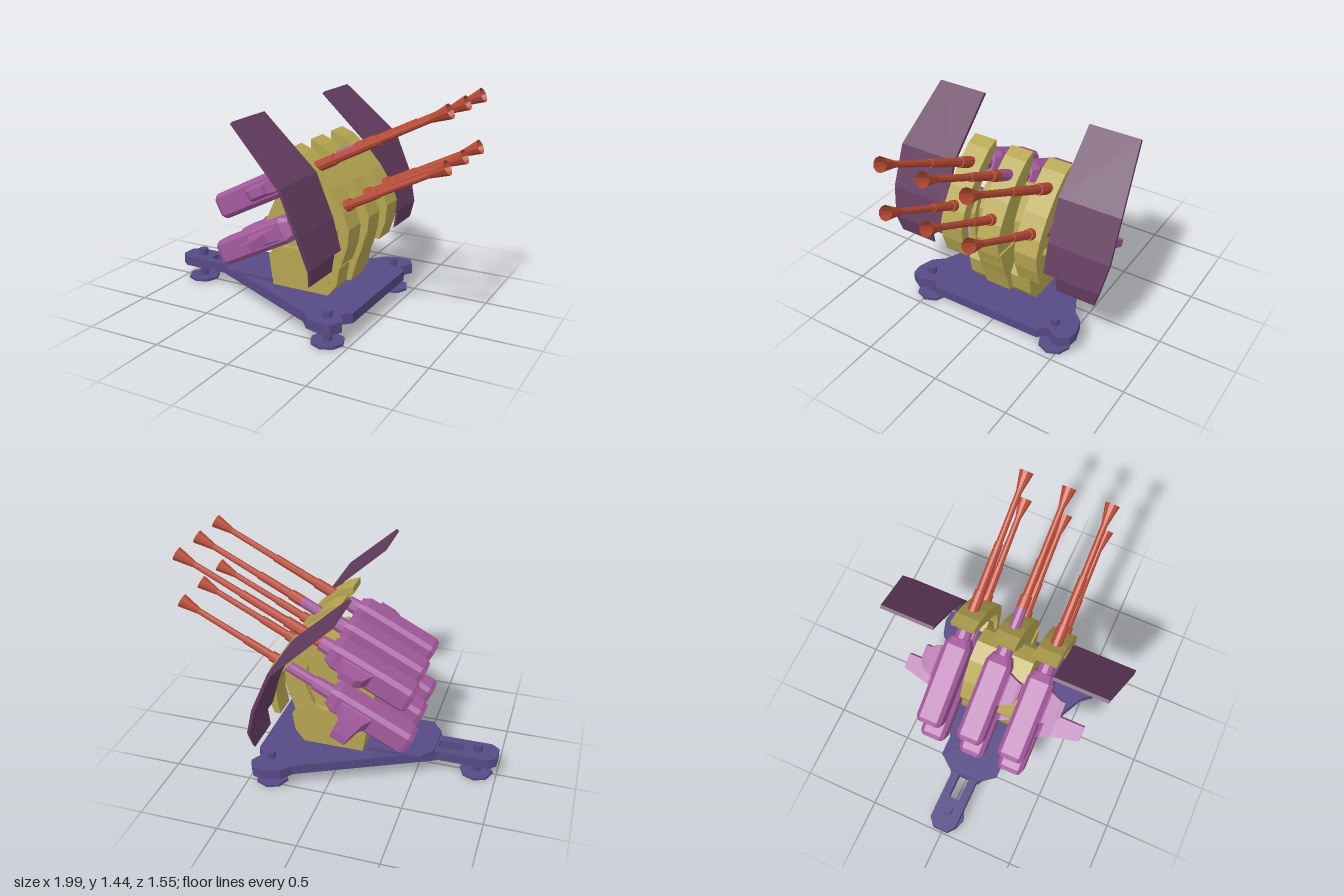
import * as THREE from 'three';

const mat = (name, color) => {
  const m = new THREE.MeshStandardMaterial({ color, flatShading: true, side: THREE.DoubleSide });
  m.name = name;
  return m;
};

export function createModel() {
  const root = new THREE.Group();
  root.name = 'antiAircraftGun';
  const pink = mat('gunPink', 0xa35a9c);
  const red = mat('barrelRed', 0xb84a35);
  const olive = mat('mountOlive', 0xb5a550);
  const blue = mat('baseBlue', 0x574a85);
  const plum = mat('shieldPlum', 0x643c60);

  const add = (parent, name, geo, material, x = 0, y = 0, z = 0) => {
    const m = new THREE.Mesh(geo, material);
    m.name = name;
    m.position.set(x, y, z);
    parent.add(m);
    return m;
  };
  const shapeOf = pts => new THREE.Shape(pts.map(p => new THREE.Vector2(...p)));
  // side profile (x, y) extruded between two z values
  const slab = (pts, z0, z1) =>
    new THREE.ExtrudeGeometry(shapeOf(pts), { depth: z1 - z0, bevelEnabled: false }).translate(0, 0, z0);
  // plan outline (x, z) extruded between two heights
  const plan = (pts, y0, y1) =>
    new THREE.ExtrudeGeometry(shapeOf(pts.map(([x, z]) => [x, -z])), { depth: y1 - y0, bevelEnabled: false })
      .rotateX(-Math.PI / 2).translate(0, y0, 0);
  // skin through rings with equal point counts, capped at both ends
  const loft = rings => {
    const n = rings[0].length, pos = rings.flat(2), idx = [], last = (rings.length - 1) * n;
    for (let r = 0; r < rings.length - 1; r++)
      for (let i = 0; i < n; i++) {
        const a = r * n + i, b = r * n + (i + 1) % n;
        idx.push(a, b, a + n, b, b + n, a + n);
      }
    for (let i = 1; i < n - 1; i++) idx.push(0, i + 1, i, last, last + i, last + i + 1);
    const g = new THREE.BufferGeometry();
    g.setAttribute('position', new THREE.Float32BufferAttribute(pos, 3));
    g.setIndex(idx);
    const flat = g.toNonIndexed();
    flat.computeVertexNormals();
    return flat;
  };
  const mirror = half => [...half, ...half.map(([x, z]) => [x, -z]).reverse()];

  // ---- Base with twin tail rails and three feet
  const base = new THREE.Group();
  base.name = 'base';
  root.add(base);
  add(base, 'basePlate', plan(mirror([[-0.62, 0.1], [0.2, 0.5], [0.26, 0.57], [0.36, 0.6], [0.43, 0.59],
    [0.47, 0.52], [0.42, 0.43], [0.47, 0.38]]), 0.1, 0.165), blue);
  add(base, 'deckPlate', plan(mirror([[-0.61, 0.11], [-0.54, 0.2], [-0.2, 0.2]]), 0.165, 0.185), blue);
  for (const s of [-1, 1])
    add(base, 'tailRail', new THREE.BoxGeometry(0.33, 0.065, 0.055), blue, -0.77, 0.1325, s * 0.0625);
  add(base, 'tailPad', plan(mirror([[-1, 0.05], [-0.95, 0.09], [-0.82, 0.09], [-0.78, 0.04]]), 0.1, 0.165), blue);
  for (const [x, z] of [[-0.87, 0], [0.36, 0.49], [0.36, -0.45]]) {
    add(base, 'footPost', new THREE.CylinderGeometry(0.03, 0.03, 0.2, 8), blue, x, 0.11, z);
    add(base, 'footDisc', new THREE.CylinderGeometry(0.105, 0.105, 0.018, 8), blue, x, 0.009, z);
  }

  // ---- Pedestal, drum and yoke
  const mount = new THREE.Group();
  mount.name = 'mount';
  root.add(mount);
  add(mount, 'pedestal', slab([[-0.17, 0.165], [0.22, 0.165], [0.28, 0.24], [0.3, 0.36], [0.25, 0.43],
    [-0.15, 0.43], [-0.2, 0.36]], -0.225, 0.225), olive);
  add(mount, 'pedestalNose', slab([[0.15, 0.235], [0.31, 0.235], [0.35, 0.37], [0.38, 0.45], [0.41, 0.57],
    [0.2, 0.57]], -0.088, 0.088), olive);
  add(mount, 'drum', slab([[-0.235, 0.58], [-0.17, 0.72], [-0.07, 0.84], [0.05, 0.89], [0.16, 0.84], [0.23, 0.72],
    [0.25, 0.6], [0.22, 0.46], [0.1, 0.37], [-0.08, 0.33], [-0.2, 0.38]], -0.19, 0.19), olive);
  for (const z of [-0.225, 0.185])
    add(mount, 'yoke', slab([[0.21, 0.84], [0.28, 0.7], [0.28, 0.5], [0.2, 0.38], [0.05, 0.3], [-0.19, 0.32],
      [-0.19, 0.37], [0.03, 0.38], [0.15, 0.46], [0.2, 0.58], [0.19, 0.72], [0.15, 0.79]], z, z + 0.04), olive);

  // ---- Three curved bands in front of the guns
  const outer = [[0.02, 1.1], [0.1, 1.07], [0.2, 0.99], [0.3, 0.88], [0.38, 0.76], [0.42, 0.66], [0.41, 0.55], [0.37, 0.43]];
  const inner = [[0.33, 0.43], [0.35, 0.54], [0.35, 0.64], [0.31, 0.73], [0.24, 0.82], [0.15, 0.92], [0.08, 0.99], [0.02, 1.05]];
  const centreInner = [[0.2, 0.43], [0.2, 0.64], [0.16, 0.82], [0.1, 0.92], [0.02, 1.04]];
  add(mount, 'outerBand', slab([...outer, ...inner], 0.19, 0.345), olive);
  add(mount, 'outerBand', slab([...outer, ...inner], -0.345, -0.19), olive);
  add(mount, 'centreBand', slab([...outer, ...centreInner], -0.076, 0.076), olive);

  // ---- Bent shields, one each side
  const shieldRing = s => ([x, y, zi, zo]) =>
    [[x, y, s * zi], [x, y, s * zo], [x - 0.016, y - 0.014, s * zo], [x - 0.016, y - 0.014, s * zi]];
  for (const s of [-1, 1]) {
    const shield = new THREE.Group();
    shield.name = s > 0 ? 'frontShield' : 'rearShield';
    root.add(shield);
    add(shield, 'shieldPanel', loft([[-0.125, 1.31, 0.37, 0.705], [0.22, 0.99, 0.37, 0.775],
      [0.33, 0.73, 0.37, 0.775], [0.382, 0.54, 0.37, 0.74]].map(shieldRing(s))), plum);
    add(shield, 'shieldSkirt', loft([[0.382, 0.54, 0.455, 0.74],
      [0.368, 0.435, 0.455, 0.705]].map(shieldRing(s))), plum);
  }

  // ---- Guns: local +x runs along the barrel from the breech
  const tube = (g, name, u0, u1, r0, r1, material, open = false) =>
    add(g, name, new THREE.CylinderGeometry(r1, r0, u1 - u0, 10, 1, open).rotateZ(-Math.PI / 2), material, (u0 + u1) / 2);
  const octagon = (u, h) => [[1, 0.7], [0.7, 1], [-0.7, 1], [-1, 0.7], [-1, -0.7], [-0.7, -1], [0.7, -1], [1, -0.7]]
    .map(([a, b]) => [u, a * h, b * h]);
  const armRing = s => ([u, z, hu, hv]) =>
    [[u - hu, -hv, s * z], [u + hu, -hv, s * z], [u + hu, hv, s * z], [u - hu, hv, s * z]];

  function gun(y, z, neckEnd, armSide, armLength) {
    const g = new THREE.Group();
    g.name = 'gun';
    g.position.set(-0.49, y, z);
    g.rotation.z = 0.47;
    root.add(g);
    add(g, 'receiver', loft([octagon(0, 0.07), octagon(0.03, 0.083), octagon(0.52, 0.083), octagon(0.57, 0.06)]), pink);
    tube(g, 'collar', 0.56, Math.min(0.69, neckEnd), 0.053, 0.048, pink);
    if (neckEnd > 0.7) tube(g, 'neck', 0.69, neckEnd, 0.036, 0.036, pink);
    tube(g, 'jacket', neckEnd, Math.max(0.88, neckEnd + 0.08), 0.037, 0.035, red);
    tube(g, 'sleeve', 0.87, 1.19, 0.028, 0.026, red);
    tube(g, 'barrel', 1.18, 1.53, 0.021, 0.019, red);
    tube(g, 'muzzle', 1.52, 1.643, 0.02, 0.045, red, true);
    // feed arm on the side of the receiver
    const arm = [[0.38, 0.075, 0.11, 0.05], [0.38, 0.095, 0.1, 0.04], [0.38, 0.16, 0.07, 0.03]];
    if (armLength > 0.17) arm.push([0.4, armLength, 0.05, 0.025]);
    add(g, 'feedArm', loft(arm.map(armRing(armSide))), pink);
  }
  for (const s of [-1, 1]) {
    gun(0.655, s * 0.275, 0.64, s, 0.19);
    gun(0.345, s * 0.275, 0.92, s, 0.34);
  }
  gun(0.655, 0, 0.88, 1, 0.18);
  gun(0.345, 0, 0.92, 1, 0.18);

  return root;
}
